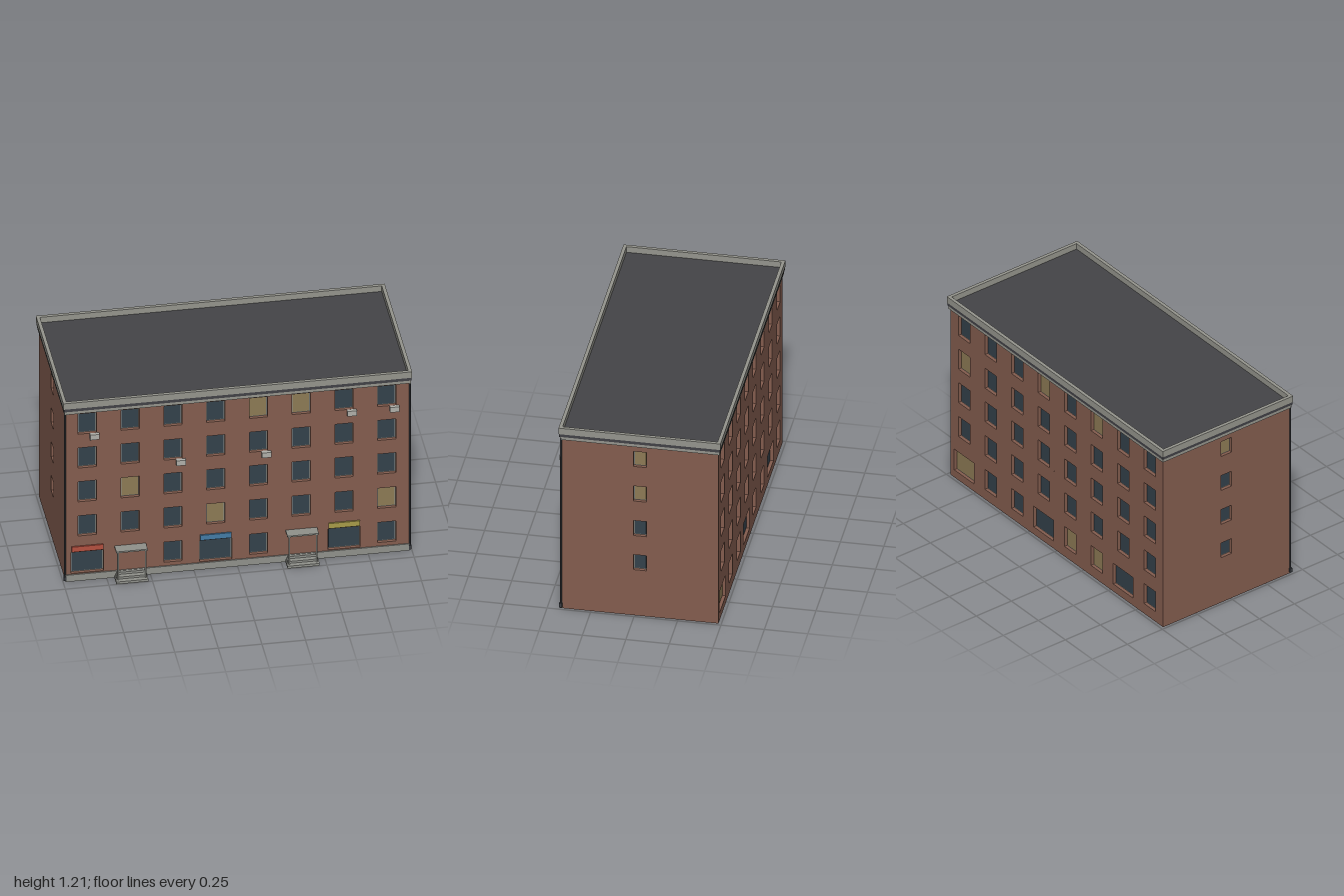
import * as THREE from 'three';

const mat = (color) => new THREE.MeshStandardMaterial({ color });
const M = {
  brick: mat(0x845d4f), trim: mat(0x95958d), dark: mat(0x414146), roof: mat(0x444447),
  frame: mat(0x8d918d), glass: mat(0x33414b), lit: mat(0x8d7b55), pipe: mat(0x3a3d42),
  unit: mat(0xb0b0aa), step: mat(0x90918b),
  red: mat(0xb4503f), blue: mat(0x447ca6), yellow: mat(0xa89c48),
};

// main dimensions
const HX = 0.985, ZF = 0.42, ZB = -0.483, ZC = (ZF + ZB) / 2, T = 0.025, H = 1.13;
const columns = Array.from({ length: 8 }, (_, i) => -0.86 + i * 0.2453);
const rows = [0.135, 0.365, 0.595, 0.822, 1.05];

// box from its minimum and maximum corners
function box(parent, name, m, [x0, y0, z0], [x1, y1, z1]) {
  const mesh = new THREE.Mesh(new THREE.BoxGeometry(x1 - x0, y1 - y0, z1 - z0), m);
  mesh.position.set((x0 + x1) / 2, (y0 + y1) / 2, (z0 + z1) / 2);
  mesh.name = name;
  parent.add(mesh);
  return mesh;
}

function rectPath(path, x, y, w, h) {
  path.moveTo(x - w / 2, y - h / 2);
  path.lineTo(x + w / 2, y - h / 2);
  path.lineTo(x + w / 2, y + h / 2);
  path.lineTo(x - w / 2, y + h / 2);
  path.closePath();
  return path;
}

// wall facing local +z, with a recessed pane in every opening
function wall(name, width, openings) {
  const g = new THREE.Group();
  g.name = name;
  const shape = rectPath(new THREE.Shape(), 0, H / 2, width, H);
  for (const o of openings) shape.holes.push(rectPath(new THREE.Path(), o.x, o.y, o.w, o.h));
  const geo = new THREE.ExtrudeGeometry(shape, { depth: T, bevelEnabled: false });
  geo.translate(0, 0, -T);
  const brick = new THREE.Mesh(geo, M.brick);
  brick.name = 'brickwork';
  g.add(brick);
  for (const { x, y, w, h, lit } of openings) {
    box(g, 'windowFrame', M.frame, [x - w / 2, y - h / 2, -T], [x + w / 2, y + h / 2, -0.02]);
    const a = w / 2 - 0.005, b = h / 2 - 0.005;
    box(g, 'windowPane', lit ? M.lit : M.glass, [x - a, y - b, -0.021], [x + a, y + b, -0.018]);
  }
  return g;
}

// openings of a long wall; keys are "row,column"
function openings(litKeys, wideColumns, skipColumns, flip) {
  const list = [];
  rows.forEach((y, r) => columns.forEach((x, c) => {
    if (r === 0 && skipColumns.includes(c)) return;
    const wide = r === 0 && wideColumns.includes(c);
    list.push({
      x: flip ? -x : x, y: wide ? 0.12 : y,
      w: wide ? 0.185 : 0.105, h: wide ? 0.14 : 0.135,
      lit: litKeys.includes(r + ',' + c),
    });
  }));
  return list;
}

const sideOpenings = (litCount) => [1.04, 0.81, 0.58, 0.353].map((y, i) =>
  ({ x: 0, y, w: 0.075, h: 0.1, lit: i < litCount }));

// entrance with steps, posts and a flat canopy
function entrance(x) {
  const g = new THREE.Group();
  g.name = 'entrance';
  g.position.x = x;
  [[0.092, 0.015, 0.498], [0.086, 0.028, 0.47], [0.08, 0.042, 0.442]].forEach(([w, top, z], i) =>
    box(g, 'step', M.step, [-w, i ? top - 0.014 : 0, ZF - 0.01], [w, top, z]));
  for (const s of [-1, 1]) {
    const px = s * 0.079;
    box(g, 'canopyPost', M.step, [px - 0.004, 0.014, 0.472], [px + 0.004, 0.201, 0.48]);
  }
  box(g, 'canopy', M.step, [-0.09, 0.2, ZF - 0.005], [0.09, 0.209, 0.485]);
  return g;
}

export function createModel() {
  const model = new THREE.Group();
  model.name = 'apartmentBlock';

  // four walls
  const front = wall('frontWall', 2 * HX,
    openings(['4,4', '4,5', '2,1', '1,3', '1,7'], [0, 3, 6], [1, 5], false));
  front.position.z = ZF;
  const back = wall('backWall', 2 * HX,
    openings(['4,4', '4,2', '3,7', '0,7', '0,3', '0,2'], [7, 4, 1], [], true));
  back.position.z = ZB;
  back.rotation.y = Math.PI;
  const sideWidth = ZF - ZB - 2 * T;
  const left = wall('leftWall', sideWidth, sideOpenings(2));
  left.position.set(HX, 0, ZC);
  left.rotation.y = Math.PI / 2;
  const right = wall('rightWall', sideWidth, sideOpenings(1));
  right.position.set(-HX, 0, ZC);
  right.rotation.y = -Math.PI / 2;
  model.add(front, back, left, right);
  box(model, 'floor', M.brick, [-HX + T, 0.004, ZB + T], [HX - T, 0.012, ZF - T]);

  // cornice bands and roof
  box(model, 'corniceBand', M.trim, [-0.993, 1.125, -0.491], [0.993, 1.145, 0.428]);
  box(model, 'corniceShadowBand', M.dark, [-0.996, 1.145, -0.494], [0.996, 1.165, 0.431]);
  box(model, 'roof', M.roof, [-0.98, 1.16, -0.48], [0.98, 1.168, 0.415]);

  // hollow parapet around the roof
  const ring = rectPath(new THREE.Shape(), 0, 0, 2, 0.931);
  ring.holes.push(rectPath(new THREE.Path(), 0, 0, 1.96, 0.891));
  const ringGeo = new THREE.ExtrudeGeometry(ring, { depth: 0.04, bevelEnabled: false });
  ringGeo.rotateX(-Math.PI / 2);
  const parapet = new THREE.Mesh(ringGeo, M.trim);
  parapet.name = 'parapet';
  parapet.position.set(0, 1.165, ZC);
  model.add(parapet);

  // plinth along the front
  box(model, 'plinth', M.step, [-HX, 0, ZF - 0.005], [HX, 0.044, ZF + 0.007]);

  // entrances
  model.add(entrance(columns[1]), entrance(columns[5]));

  // shop signs
  [[0, M.red], [3, M.blue], [6, M.yellow]].forEach(([c, m]) =>
    box(model, 'shopSign', m, [columns[c] - 0.09, 0.197, ZF - 0.005], [columns[c] + 0.09, 0.231, ZF + 0.009]));

  // air conditioners
  [[-0.82, 0.965], [0.655, 0.965], [0.9, 0.965], [-0.325, 0.738], [0.165, 0.738]].forEach(([x, y]) =>
    box(model, 'airConditioner', M.unit, [x - 0.027, y - 0.017, ZF - 0.003], [x + 0.027, y + 0.017, 0.441]));

  // downpipes at the front corners
  for (const s of [-1, 1]) {
    const pipe = new THREE.Mesh(new THREE.CylinderGeometry(0.005, 0.005, 1.125, 8), M.pipe);
    pipe.name = 'downpipe';
    pipe.position.set(s * 0.989, 0.575, 0.422);
    model.add(pipe);
    const x = s * 0.99;
    box(model, 'downpipeShoe', M.pipe, [x - 0.007, 0.01, 0.415], [x + 0.007, 0.036, 0.432]);
  }
  return model;
}
